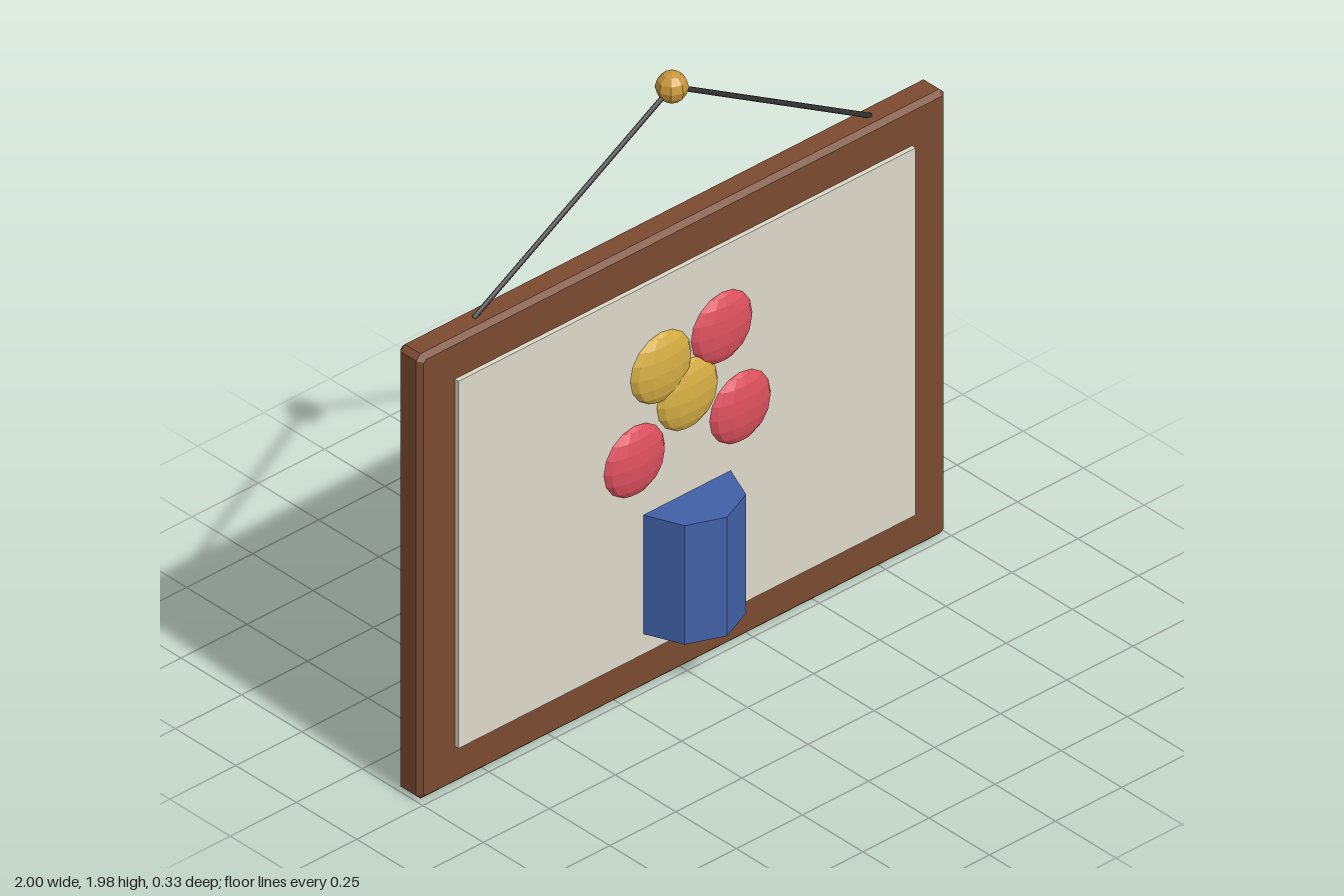
import * as THREE from 'three';

const mat = (name, color) => {
  const m = new THREE.MeshStandardMaterial({ color });
  m.name = name;
  return m;
};

export function createModel() {
  const wood = mat('wood brown', 0x7a4a30);
  const cream = mat('canvas cream', 0xdcd8c8);
  const blue = mat('vase blue', 0x4060a6);
  const red = mat('flower red', 0xdd505e);
  const yellow = mat('flower yellow', 0xd6ae45);
  const brass = mat('brass', 0xc8963c);
  const dark = mat('wire dark', 0x333333);

  const model = new THREE.Group();
  model.name = 'framedPicture';
  const add = (name, geometry, material, x = 0, y = 0, z = 0, parent = model) => {
    const mesh = new THREE.Mesh(geometry, material);
    mesh.name = name;
    mesh.position.set(x, y, z);
    parent.add(mesh);
    return mesh;
  };
  const faceted = (geometry) => {
    const g = geometry.toNonIndexed();
    g.computeVertexNormals();
    return g;
  };

  // Solid wooden frame slab with chamfered edges and corners
  const w = 0.983, h = 0.733, c = 0.008, bevel = 0.015;
  const outline = new THREE.Shape([
    [-w + c, -h], [w - c, -h], [w, -h + c], [w, h - c],
    [w - c, h], [-w + c, h], [-w, h - c], [-w, -h + c],
  ].map(([x, y]) => new THREE.Vector2(x, y)));
  const frame = new THREE.ExtrudeGeometry(outline, {
    depth: 0.065, bevelEnabled: true, bevelSegments: 1,
    bevelSize: bevel, bevelThickness: bevel,
  });
  add('frame', frame, wood, 0, 0.75, -0.095);

  // Canvas panel standing slightly proud of the frame
  add('canvas', new THREE.BoxGeometry(1.73, 1.235, 0.05), cream, 0, 0.75, -0.025);

  // Eight-sided vase passing through the picture
  add('vase', faceted(new THREE.CylinderGeometry(0.165, 0.165, 0.4, 8)), blue, 0, 0.4, 0);

  // Flattened blossoms
  const flowers = new THREE.Group();
  flowers.name = 'flowers';
  model.add(flowers);
  const blossom = faceted(new THREE.SphereGeometry(0.115, 12, 8).scale(1, 1, 0.3));
  [
    [-0.2, 0.8, red], [0.2, 0.8, red], [0.13, 1.1, red],
    [-0.1, 1.07, yellow], [0, 0.935, yellow],
  ].forEach(([x, y, m], i) => add(`flower${i + 1}`, blossom, m, x, y, 0, flowers));

  // Hanging wires running from the frame top to the nail
  const nailY = 1.935, hangZ = -0.063;
  const up = new THREE.Vector3(0, 1, 0);
  for (const side of [-1, 1]) {
    const from = new THREE.Vector3(side * 0.75, 1.497, hangZ);
    const to = new THREE.Vector3(0, nailY, hangZ);
    const dir = to.clone().sub(from);
    const wire = add(side > 0 ? 'leftWire' : 'rightWire',
      new THREE.CylinderGeometry(0.008, 0.008, dir.length(), 6), dark);
    wire.position.copy(from).add(to).multiplyScalar(0.5);
    wire.quaternion.setFromUnitVectors(up, dir.normalize());
  }

  // Brass nail head
  add('nailHead', faceted(new THREE.SphereGeometry(0.048, 8, 6)), brass, 0, nailY, hangZ);

  return model;
}
